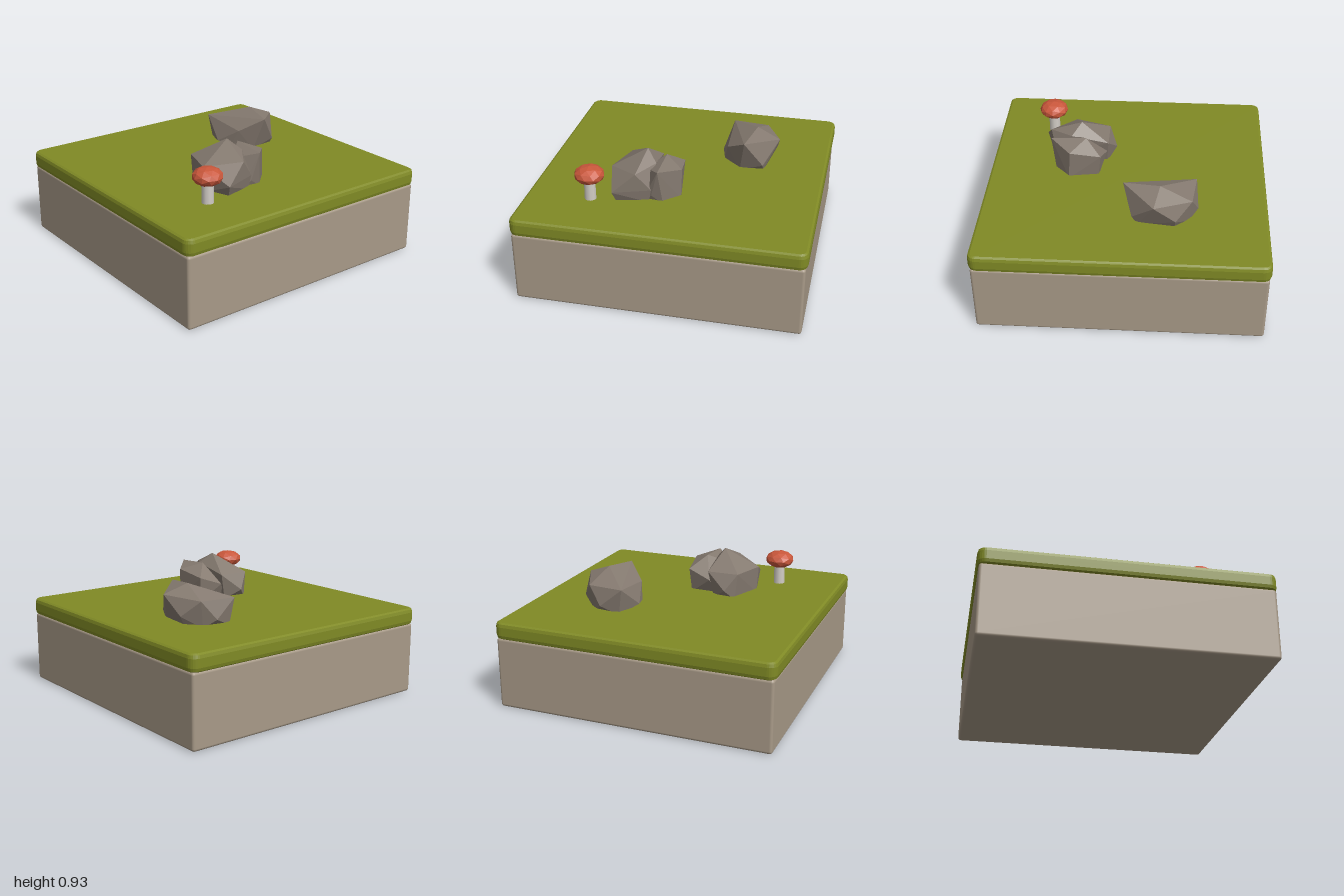
import * as THREE from 'three';
import { ConvexGeometry } from 'three/addons/geometries/ConvexGeometry.js';
import { RoundedBoxGeometry } from 'three/addons/geometries/RoundedBoxGeometry.js';

const paint = (color, flatShading = false) => {
  const m = new THREE.MeshStandardMaterial({ flatShading });
  m.color.set(color);
  return m;
};

function addPart(parent, name, geometry, material, x = 0, y = 0, z = 0) {
  const mesh = new THREE.Mesh(geometry, material);
  mesh.name = name;
  mesh.position.set(x, y, z);
  parent.add(mesh);
  return mesh;
}

// Square with rounded corners, half width h and corner radius r
function roundedSquare(h, r) {
  const s = new THREE.Shape();
  s.absarc(h - r, h - r, r, 0, Math.PI / 2);
  s.absarc(r - h, h - r, r, Math.PI / 2, Math.PI);
  s.absarc(r - h, r - h, r, Math.PI, Math.PI * 1.5);
  s.absarc(h - r, r - h, r, Math.PI * 1.5, Math.PI * 2);
  s.closePath();
  return s;
}

// Faceted boulder from its corner points
const boulder = (points) => new ConvexGeometry(points.map((p) => new THREE.Vector3(...p)));

// Boulder corners; the lowest ones are sunk into the grass
const boulders = {
  backBoulder: [
    [-0.25, 0.875, -0.48], [0.005, 0.85, -0.42], [-0.5, 0.79, -0.27], [-0.21, 0.81, -0.65],
    [-0.47, 0.79, -0.53], [-0.13, 0.75, -0.28], [-0.515, 0.66, -0.43], [-0.31, 0.64, -0.22],
    [-0.19, 0.63, -0.25], [-0.36, 0.68, -0.62], [-0.06, 0.66, -0.55], [-0.48, 0.6, -0.3],
    [-0.08, 0.6, -0.38], [-0.1, 0.6, -0.55], [-0.35, 0.6, -0.58], [-0.45, 0.6, -0.5],
  ],
  frontBoulder: [
    [0.34, 0.925, 0.195], [0.145, 0.79, 0.13], [0.09, 0.67, 0.275], [0.145, 0.79, 0.36],
    [0.4, 0.79, 0.44], [0.62, 0.7, 0.385], [0.57, 0.83, 0.23], [0.41, 0.85, 0.12],
    [0.53, 0.7, 0.13], [0.14, 0.6, 0.34], [0.38, 0.6, 0.43], [0.57, 0.6, 0.36],
    [0.52, 0.6, 0.15], [0.16, 0.6, 0.17],
  ],
  smallBoulder: [
    [0.3, 0.87, 0.07], [0.555, 0.855, 0.08], [0.41, 0.82, -0.06], [0.19, 0.78, -0.035],
    [0.155, 0.72, 0.135], [0.4, 0.8, 0.2], [0.53, 0.66, 0.13], [0.21, 0.6, -0.02],
    [0.42, 0.6, -0.055], [0.52, 0.6, 0.05], [0.2, 0.6, 0.2], [0.5, 0.6, 0.2],
  ],
};

export function createModel() {
  const model = new THREE.Group();
  model.name = 'groundTile';

  // Earth block
  addPart(model, 'earthBlock', new RoundedBoxGeometry(1.975, 0.51, 1.975, 2, 0.02),
    paint(0xa89a88), 0, 0.255, 0);

  // Grass slab with bevelled edges
  const bevel = 0.02;
  const grass = new THREE.ExtrudeGeometry(roundedSquare(1 - bevel, 0.04), {
    depth: 0.06, bevelThickness: 0.03, bevelSize: bevel, bevelSegments: 2, curveSegments: 3,
  });
  grass.rotateX(-Math.PI / 2);
  addPart(model, 'grassSlab', grass, paint(0x808a25), 0, 0.535, 0);

  // Boulders
  const stone = paint(0x857a70, true);
  for (const [name, points] of Object.entries(boulders)) addPart(model, name, boulder(points), stone);

  // Mushroom
  const mushroom = new THREE.Group();
  mushroom.name = 'mushroom';
  mushroom.position.set(0.59, 0.6, 0.545);
  model.add(mushroom);
  addPart(mushroom, 'mushroomStem', new THREE.CylinderGeometry(0.04, 0.042, 0.2, 10),
    paint(0xd2cdc6), 0, 0.1, 0);
  const cap = addPart(mushroom, 'mushroomCap', new THREE.IcosahedronGeometry(0.106, 1),
    paint(0xc9573b, true), 0, 0.21, 0);
  cap.scale.y = 0.6;

  return model;
}
